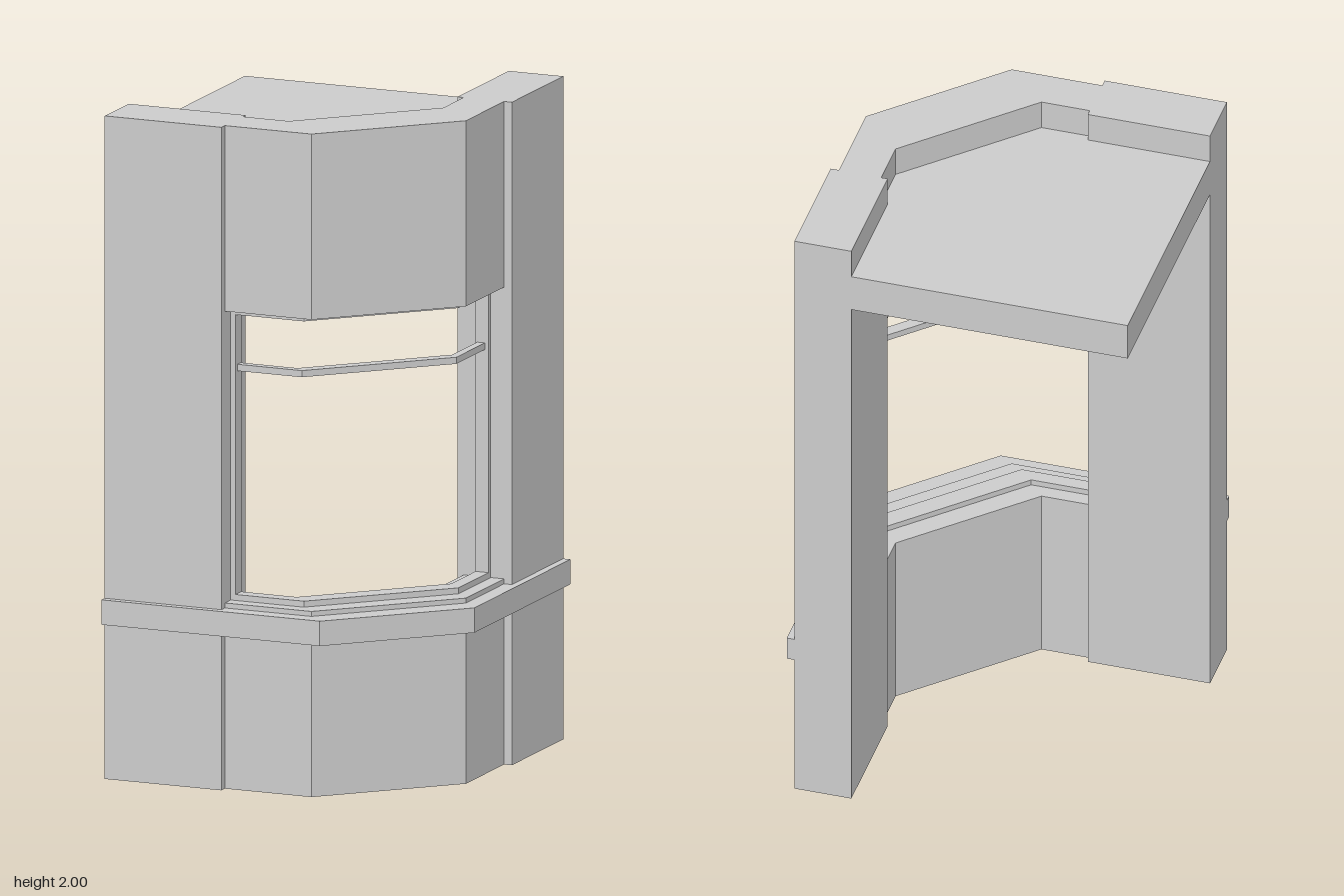
import * as THREE from 'three';

const material = new THREE.MeshStandardMaterial({ color: 0xcccccc, flatShading: true });
const BACK = -0.523;   // cut ends of the corner piece
const JOINT = -0.148;  // where the side walls meet the bay

// Half of a plan line at distance d, mirrored across the diagonal: [x, z] points
function bayLine(d, end) {
  const c = d - 0.345;
  return [[end, d], [c, d], [d, c], [d, end]];
}

// Band following the bay between two distances
function bayBand(inner, outer, end) {
  return [...bayLine(outer, end), ...bayLine(inner, end).reverse()];
}

function rect(x0, x1, z0, z1) {
  return [[x0, z0], [x1, z0], [x1, z1], [x0, z1]];
}

export function createModel() {
  const model = new THREE.Group();
  model.name = 'cornerBayWindow';

  // Raise a plan outline from y0 to y1
  function addPart(name, plan, y0, y1) {
    const shape = new THREE.Shape(plan.map(([x, z]) => new THREE.Vector2(x, -z)));
    const geometry = new THREE.ExtrudeGeometry(shape, { depth: y1 - y0, bevelEnabled: false });
    geometry.rotateX(-Math.PI / 2);
    geometry.translate(0, y0, 0);
    const mesh = new THREE.Mesh(geometry, material);
    mesh.name = name;
    model.add(mesh);
  }

  // Full-height side walls
  addPart('frontWall', rect(BACK, JOINT, 0.325, 0.5), 0, 2);
  addPart('sideWall', rect(0.325, 0.5, BACK, JOINT), 0, 2);

  // Bay walls below and above the opening
  const bay = bayBand(0.345, 0.475, JOINT);
  addPart('lowerBayWall', bay, 0, 0.56);
  addPart('upperBayWall', bay, 1.44, 2);

  // Projecting string course
  addPart('stringCourse', bayBand(0.46, 0.523, BACK), 0.47, 0.545);

  // Window frame: sill, head, two jambs and the transom rail
  const frame = bayBand(0.39, 0.432, JOINT);
  addPart('windowSill', frame, 0.56, 0.578);
  addPart('windowHead', frame, 1.422, 1.44);
  addPart('frontJamb', rect(JOINT, -0.132, 0.39, 0.432), 0.578, 1.422);
  addPart('sideJamb', rect(0.39, 0.432, JOINT, -0.132), 0.578, 1.422);
  addPart('transomRail', bayBand(0.395, 0.42, -0.132), 1.25, 1.27);

  // Ceiling slab set between the walls, just below their tops
  addPart('ceilingSlab', [
    [BACK, BACK], [0.325, BACK], [0.325, JOINT], [0.345, JOINT], [0.345, 0],
    [0, 0.345], [JOINT, 0.345], [JOINT, 0.325], [BACK, 0.325],
  ], 1.787, 1.907);

  return model;
}
